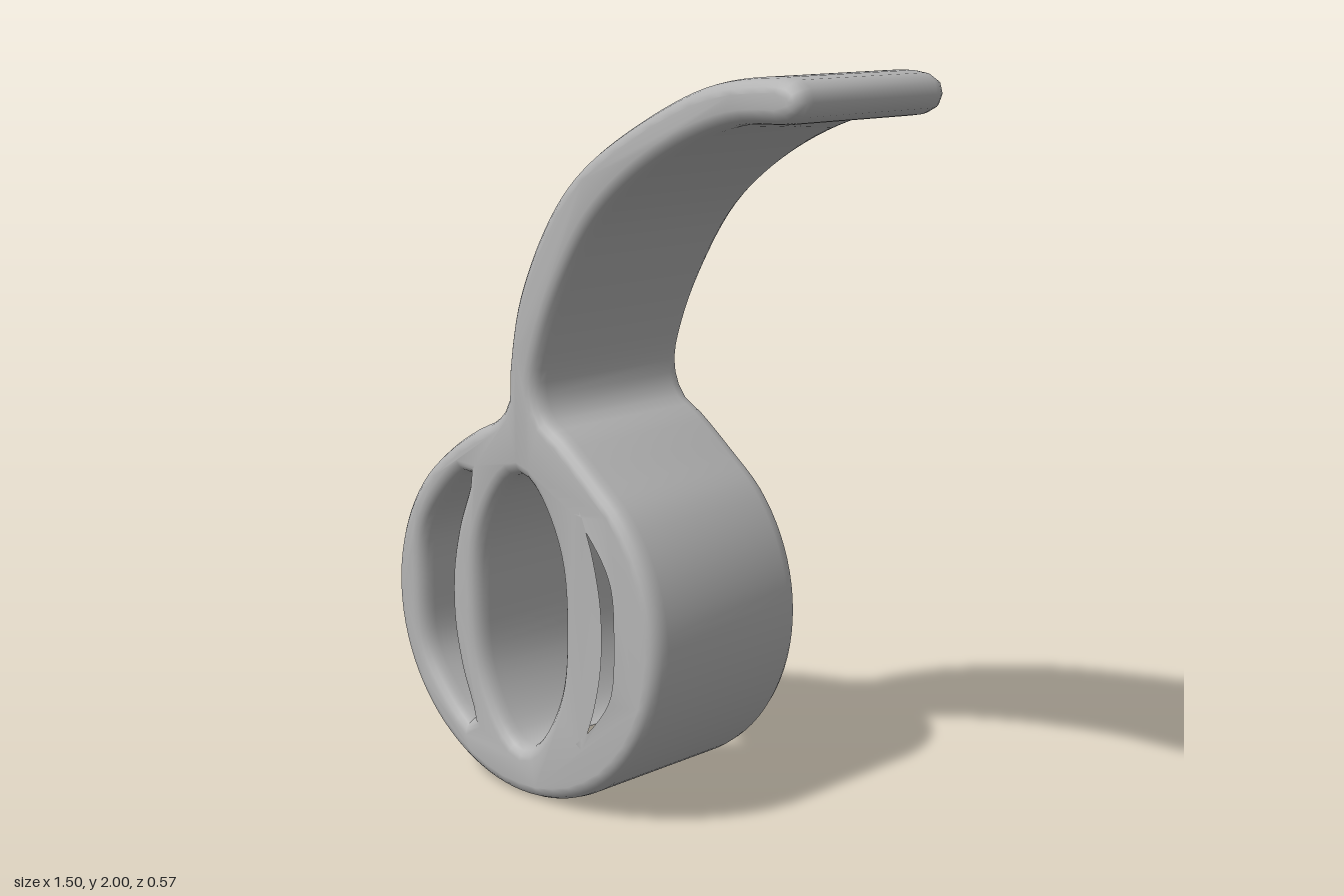
import * as THREE from 'three';
import { toCreasedNormals } from 'three/addons/utils/BufferGeometryUtils.js';

const CX = -0.23, CY = 0.515, RX = 0.52, RY = 0.515; // ring centre and radii
const HALF_DEPTH = 0.285, BEVEL = 0.036, BEVEL_DEPTH = 0.05;

// Smooth closed loop through a few [x, y] points
function loop(points, count) {
  const curve = new THREE.CatmullRomCurve3(points.map(([x, y]) => new THREE.Vector3(x, y, 0)), true);
  return curve.getSpacedPoints(count).slice(0, -1).map(p => new THREE.Vector2(p.x, p.y));
}

const mirrorX = points => points.map(([x, y]) => [2 * CX - x, y]);

export function createModel() {
  const group = new THREE.Group();
  const grey = new THREE.MeshStandardMaterial({ color: 0xb3b3b3 });
  grey.name = 'plain grey';

  // Outer ring, clockwise from the right of the strap to its left
  const outline = [];
  for (let i = 0; i <= 18; i++) {
    const a = THREE.MathUtils.degToRad(57 - (294 * i) / 18);
    outline.push([CX + RX * Math.cos(a), CY + RY * Math.sin(a)]);
  }
  // Curved strap: fillet, outer edge, rounded tip, inner edge, fillet
  outline.push(
    [-0.41, 1.01], [-0.32, 1.055], [-0.277, 1.11], [-0.272, 1.19], [-0.23, 1.39], [-0.11, 1.62],
    [0.01, 1.75], [0.22, 1.88], [0.43, 1.97], [0.59, 1.997], [0.7, 1.997], [0.737, 1.98],
    [0.75, 1.945], [0.735, 1.908], [0.7, 1.892], [0.54, 1.882], [0.38, 1.83], [0.2, 1.73],
    [0.06, 1.61], [-0.05, 1.45], [-0.13, 1.285], [-0.16, 1.16], [-0.13, 1.08], [-0.06, 1.035]);
  const shape = new THREE.Shape(loop(outline, 170));

  // Almond-shaped middle opening
  const middle = [[-0.23, 0.91], [-0.27, 0.895], [-0.33, 0.825], [-0.385, 0.7], [-0.4, 0.525],
    [-0.385, 0.35], [-0.33, 0.225], [-0.27, 0.155], [-0.23, 0.14]];
  middle.push(...mirrorX(middle.slice(1, -1)).reverse());

  // Crescent openings on either side
  const crescent = [[-0.435, 0.88], [-0.45, 0.885], [-0.545, 0.805], [-0.62, 0.69], [-0.636, 0.525],
    [-0.62, 0.355], [-0.545, 0.245], [-0.45, 0.165], [-0.435, 0.17],
    [-0.487, 0.32], [-0.515, 0.45], [-0.515, 0.6], [-0.487, 0.73]];

  for (const hole of [middle, crescent, mirrorX(crescent)]) {
    shape.holes.push(new THREE.Path(loop(hole, 56)));
  }

  // Extrude with rounded rims
  const geometry = new THREE.ExtrudeGeometry(shape, {
    depth: 2 * (HALF_DEPTH - BEVEL_DEPTH),
    bevelEnabled: true,
    bevelSize: BEVEL,
    bevelOffset: -BEVEL,
    bevelThickness: BEVEL_DEPTH,
    bevelSegments: 4,
  });
  geometry.translate(0, 0, -(HALF_DEPTH - BEVEL_DEPTH));

  const body = new THREE.Mesh(toCreasedNormals(geometry, 0.8), grey);
  body.name = 'ringWithCurvedStrap';
  group.add(body);
  return group;
}
